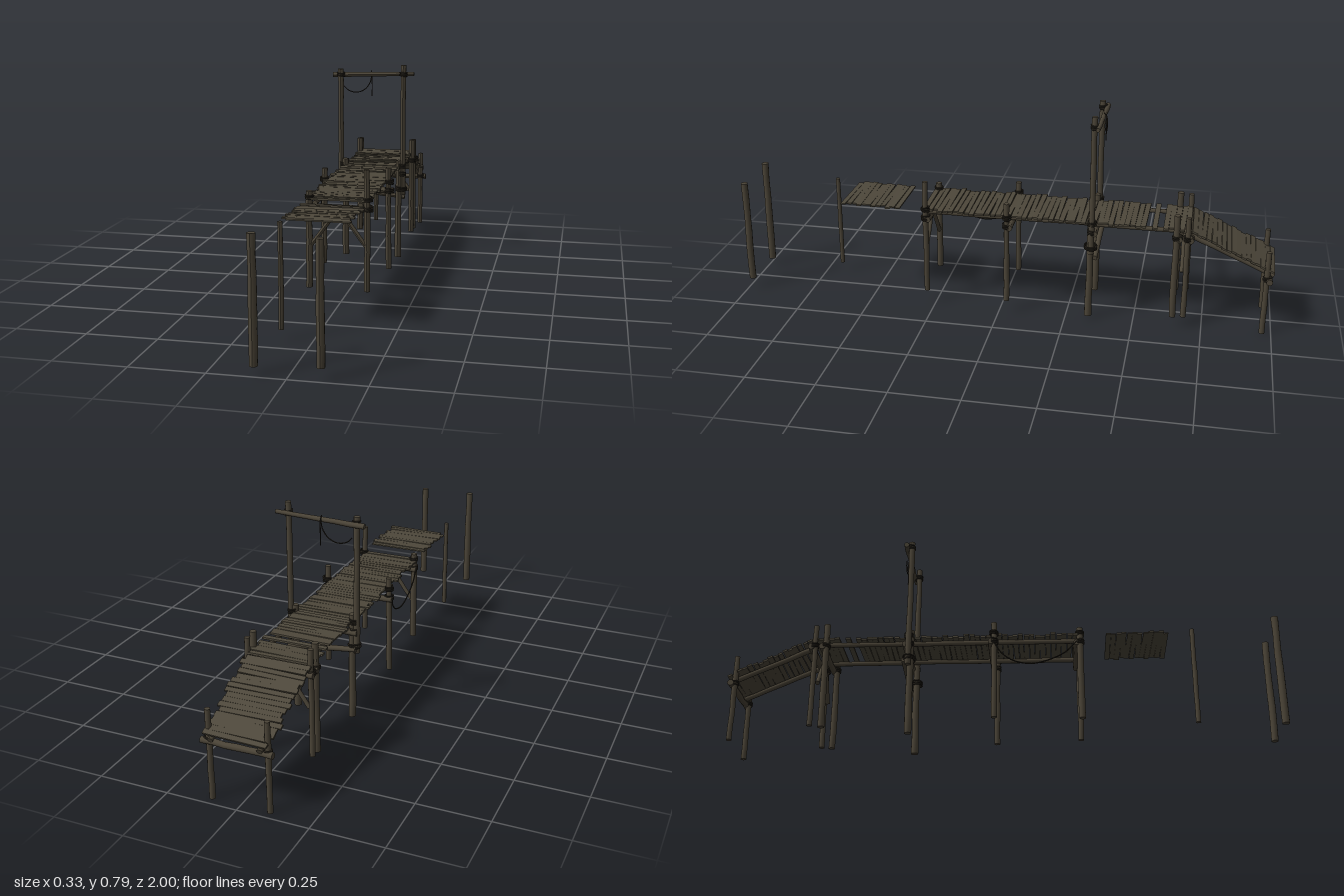
import * as THREE from 'three';

export function createModel() {
  const root = new THREE.Group();
  root.name = 'brokenPier';
  const mat = (name, color) => {
    const m = new THREE.MeshStandardMaterial({ color });
    m.name = name;
    return m;
  };
  const logWood = mat('log wood', 0x4b4437);
  const plankWood = mat('plank wood', 0x4e483b);
  const ropeMat = mat('rope', 0x27231c);

  let seed = 7;
  const rnd = () => (seed = (seed * 16807) % 2147483647) / 2147483647;
  const jit = (a) => (rnd() * 2 - 1) * a;
  const V = (x, y, z) => new THREE.Vector3(x, y, z);
  const add = (name, geo, material, parent = root) => {
    const m = new THREE.Mesh(geo, material);
    m.name = name;
    parent.add(m);
    return m;
  };

  // Slightly crooked log between two points
  function log(name, a, b, r, r2 = r * 0.93) {
    const dir = b.clone().sub(a), len = dir.length(), rows = 6;
    const geo = new THREE.CylinderGeometry(r2, r, len, 10, rows);
    const bends = Array.from({ length: rows + 1 }, () => [jit(r * 0.1), jit(r * 0.1), 1 + jit(0.06)]);
    const p = geo.attributes.position;
    for (let i = 0; i < p.count; i++) {
      const [dx, dz, s] = bends[Math.round((p.getY(i) / len + 0.5) * rows)];
      p.setX(i, p.getX(i) * s + dx);
      p.setZ(i, p.getZ(i) * s + dz);
    }
    geo.computeVertexNormals();
    const m = add(name, geo, logWood);
    m.position.copy(a).add(b).multiplyScalar(0.5);
    m.quaternion.setFromUnitVectors(V(0, 1, 0), dir.normalize());
    return m;
  }

  const post = (x, z, y0, y1, r, lean = 0) => log('post', V(x, y0, z), V(x + lean, y1, z), r);

  // Stacked rope rings around a post
  function lashing(x, y, z, r) {
    for (let i = -1; i <= 1; i++) {
      const t = add('lashing', new THREE.TorusGeometry(r, 0.003, 5, 14), ropeMat);
      t.position.set(x, y + i * 0.006, z);
      t.rotation.set(Math.PI / 2 + jit(0.15), jit(0.15), 0);
    }
  }

  function rope(name, pts, r = 0.002) {
    add(name, new THREE.TubeGeometry(new THREE.CatmullRomCurve3(pts), 28, r, 5), ropeMat);
  }

  // Uneven planks laid from z0 down to z1, with height following the slope
  function planks(name, z0, z1, y0, y1, thick, skip = () => false) {
    const g = new THREE.Group();
    g.name = name;
    root.add(g);
    const n = Math.round(Math.hypot(z0 - z1, y0 - y1) / 0.0195);
    const slope = Math.atan2(y0 - y1, z0 - z1);
    for (let i = 0; i < n; i++) {
      const t = (i + 0.5) / n, z = z0 + (z1 - z0) * t;
      if (skip(z)) continue;
      const geo = new THREE.BoxGeometry(0.224 + jit(0.012), thick, 0.0185 + jit(0.0015));
      const m = add('plank', geo, plankWood, g);
      m.position.set(-0.003 + jit(0.007), y0 + (y1 - y0) * t + jit(0.0015), z);
      m.rotation.set(-slope + jit(0.03), jit(0.018), jit(0.006));
    }
  }

  // Free-standing piles at the broken end
  post(-0.102, 0.985, 0.03, 0.44, 0.014, -0.003);
  post(0.102, 0.985, 0.04, 0.435, 0.013);
  post(-0.1, 0.685, 0.04, 0.4, 0.009);

  // Supporting piles
  post(-0.107, 0.28, 0.06, 0.41, 0.012);
  post(0.103, 0.28, 0.055, 0.493, 0.011, -0.003);
  post(-0.127, -0.03, 0.06, 0.43, 0.011, 0.004);
  post(0.124, -0.03, 0.052, 0.44, 0.011, -0.004);
  for (const s of [-1, 1]) {
    post(s * 0.108, -0.335, 0.013, 0.41, 0.013);
    post(s * 0.112, -0.643, 0.04, 0.44, 0.012);
    post(s * 0.114, -0.683, 0.045, 0.435, 0.01);
    post(s * 0.102, -0.968, 0, 0.322, 0.0105);
  }

  // Tall gate frame
  post(-0.128, -0.34, 0.27, 0.77, 0.0115);
  post(0.123, -0.34, 0.27, 0.79, 0.011);
  log('gateCrossbar', V(-0.163, 0.744, -0.357), V(0.163, 0.755, -0.357), 0.0095, 0.008);
  lashing(-0.128, 0.748, -0.342, 0.0135);
  lashing(0.123, 0.753, -0.342, 0.0135);
  rope('gateRope', [V(-0.12, 0.70, -0.36), V(-0.102, 0.683, -0.362), V(-0.07, 0.675, -0.363),
    V(-0.035, 0.688, -0.363), V(-0.014, 0.718, -0.365), V(-0.008, 0.755, -0.367)]);
  rope('ropeEnd', [V(-0.008, 0.764, -0.357), V(-0.008, 0.75, -0.368), V(-0.007, 0.70, -0.368), V(-0.007, 0.66, -0.367)]);

  // Cross beams and their lashings
  for (const [z, x] of [[0.268, 0.105], [-0.042, 0.125], [-0.352, 0.118], [-0.655, 0.112], [-0.695, 0.114]]) {
    log('crossBeam', V(-x - 0.015, 0.35, z), V(x + 0.015, 0.352, z), 0.012);
    for (const s of [-1, 1]) {
      lashing(s * x, 0.355, z + 0.01, 0.0155);
      if (z > -0.4) lashing(s * x, 0.388, z + 0.011, 0.0145);
    }
  }
  for (const s of [-1, 1]) lashing(s * 0.118, 0.295, -0.338, 0.022);
  log('lowerCrossBeam', V(-0.13, 0.288, -0.355), V(0.13, 0.257, -0.355), 0.01);
  log('rampCrossBeam', V(-0.125, 0.213, -0.978), V(0.125, 0.213, -0.978), 0.012);
  for (const s of [-1, 1]) lashing(s * 0.102, 0.218, -0.97, 0.014);

  // Diagonal braces
  for (const z of [0.28, -0.668])
    for (const s of [-1, 1])
      log('brace', V(s * 0.1, 0.215, z), V(s * 0.006, 0.345, z), 0.008);

  // Stringers under the deck and ramp
  for (const s of [-1, 1]) {
    log('stringer', V(s * 0.082, 0.37, 0.295), V(s * 0.082, 0.37, -0.35), 0.009);
    log('stringer', V(s * 0.084, 0.37, -0.32), V(s * 0.084, 0.37, -0.70), 0.009);
    log('rampStringer', V(s * 0.085, 0.362, -0.68), V(s * 0.085, 0.226, -0.992), 0.01);
  }

  // Deck, ramp and drifting piece
  planks('deck', 0.292, -0.692, 0.383, 0.383, 0.007, (z) => (z < -0.542 && z > -0.562) || (z < -0.58 && z > -0.6));
  planks('ramp', -0.695, -0.995, 0.378, 0.243, 0.007);
  planks('loosePlanks', 0.602, 0.375, 0.385, 0.385, 0.005);

  // Slack rope hanging along the side
  rope('sideRope', [V(-0.12, 0.355, 0.268), V(-0.122, 0.31, 0.225), V(-0.124, 0.278, 0.16), V(-0.125, 0.266, 0.1),
    V(-0.127, 0.28, 0.035), V(-0.13, 0.31, -0.005), V(-0.135, 0.35, -0.03)], 0.0025);

  return root;
}
